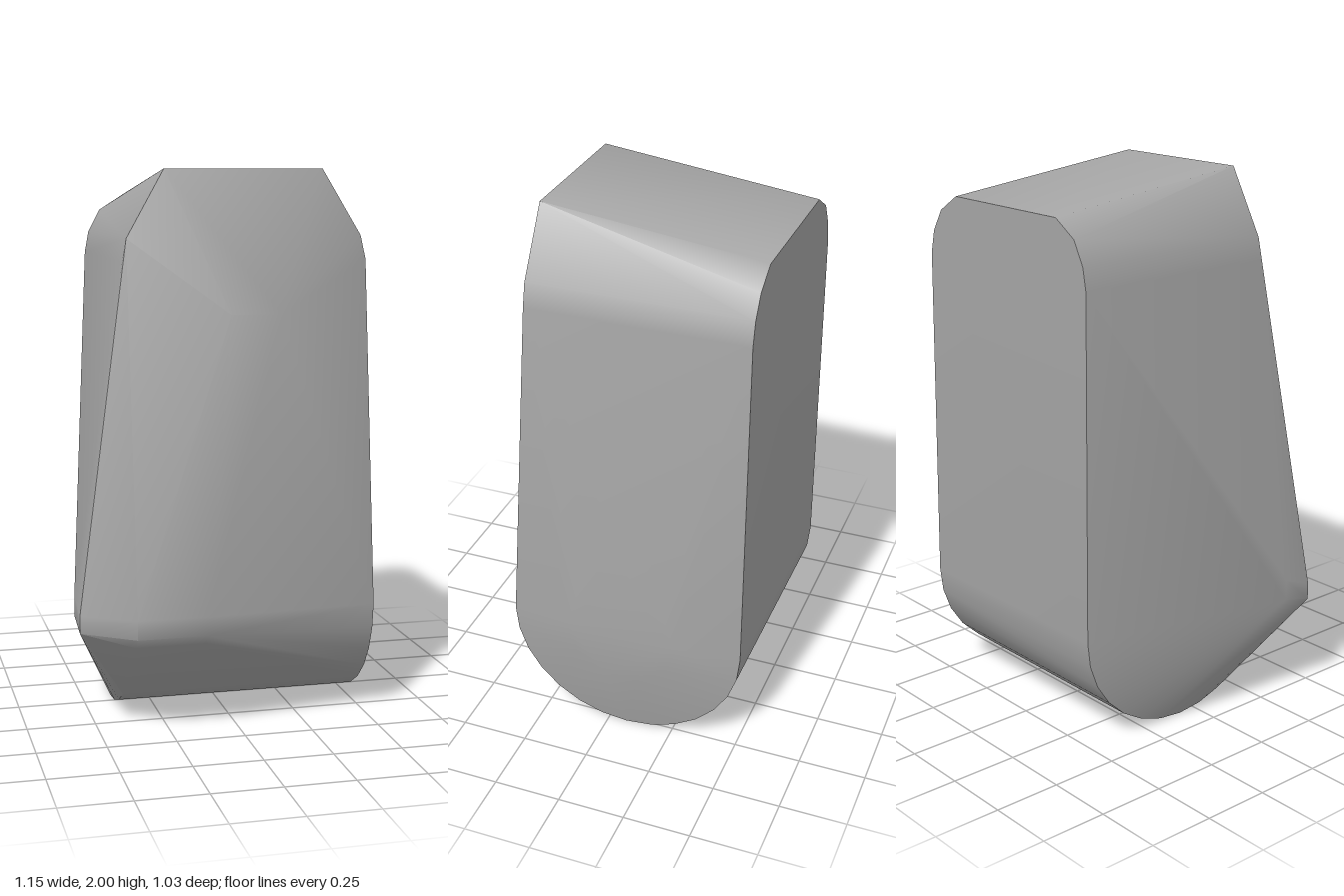
import * as THREE from 'three';
import { ConvexGeometry } from 'three/addons/geometries/ConvexGeometry.js';
import { toCreasedNormals } from 'three/addons/utils/BufferGeometryUtils.js';

export function createModel() {
  const stone = new THREE.MeshStandardMaterial({ color: 0xa6a6a6 });
  const points = [];
  const add = (x, y, z) => points.push(new THREE.Vector3(x, y, z));

  // half-round underside, running across the block
  const steps = 14;
  for (let i = 0; i <= steps; i++) {
    const a = (i / steps) * Math.PI;
    const y = 0.42 - 0.42 * Math.sin(a), z = -0.07 + 0.445 * Math.cos(a);
    add(0.52, y, z);
    add(-0.39, y, z);
  }

  // rounded upper corners, front and back
  for (const z of [0.297, -0.515]) {
    add(0.495, 1.68, z);
    add(0.475, 1.765, z);
    add(-0.395, 1.68, z);
    add(-0.38, 1.76, z);
  }
  for (const [x, y] of [[0.33, 1.905], [0.425, 1.845], [-0.24, 1.905], [-0.335, 1.845]]) add(x, y, -0.515);

  // top front edge
  add(0.33, 2, 0.297);
  add(-0.245, 2, 0.297);

  // shallow bulge on the left side
  for (let i = 0; i < 10; i++) {
    const a = (i / 10) * Math.PI * 2;
    add(0.575, 0.45 + 0.2 * Math.sin(a), -0.07 + 0.21 * Math.cos(a));
  }

  // ridge and swollen foot on the front
  add(-0.04, 1.5, 0.447);
  add(0.14, 1.5, 0.447);
  for (const x of [-0.39, -0.14]) {
    add(x, 0.45, 0.515);
    add(x, 0.38, 0.508);
    add(x, 0.345, 0.482);
  }

  // flared corner on the right side
  add(-0.577, 0.39, 0.41);
  add(-0.577, 0.45, 0.41);
  add(-0.577, 0.42, 0.29);
  add(-0.577, 0.5, 0.29);

  const block = new THREE.Mesh(toCreasedNormals(new ConvexGeometry(points), 0.6), stone);
  stone.name = 'grey stone';
  block.name = 'stoneBlock';
  const group = new THREE.Group();
  group.name = 'boulder';
  group.add(block);
  return group;
}
